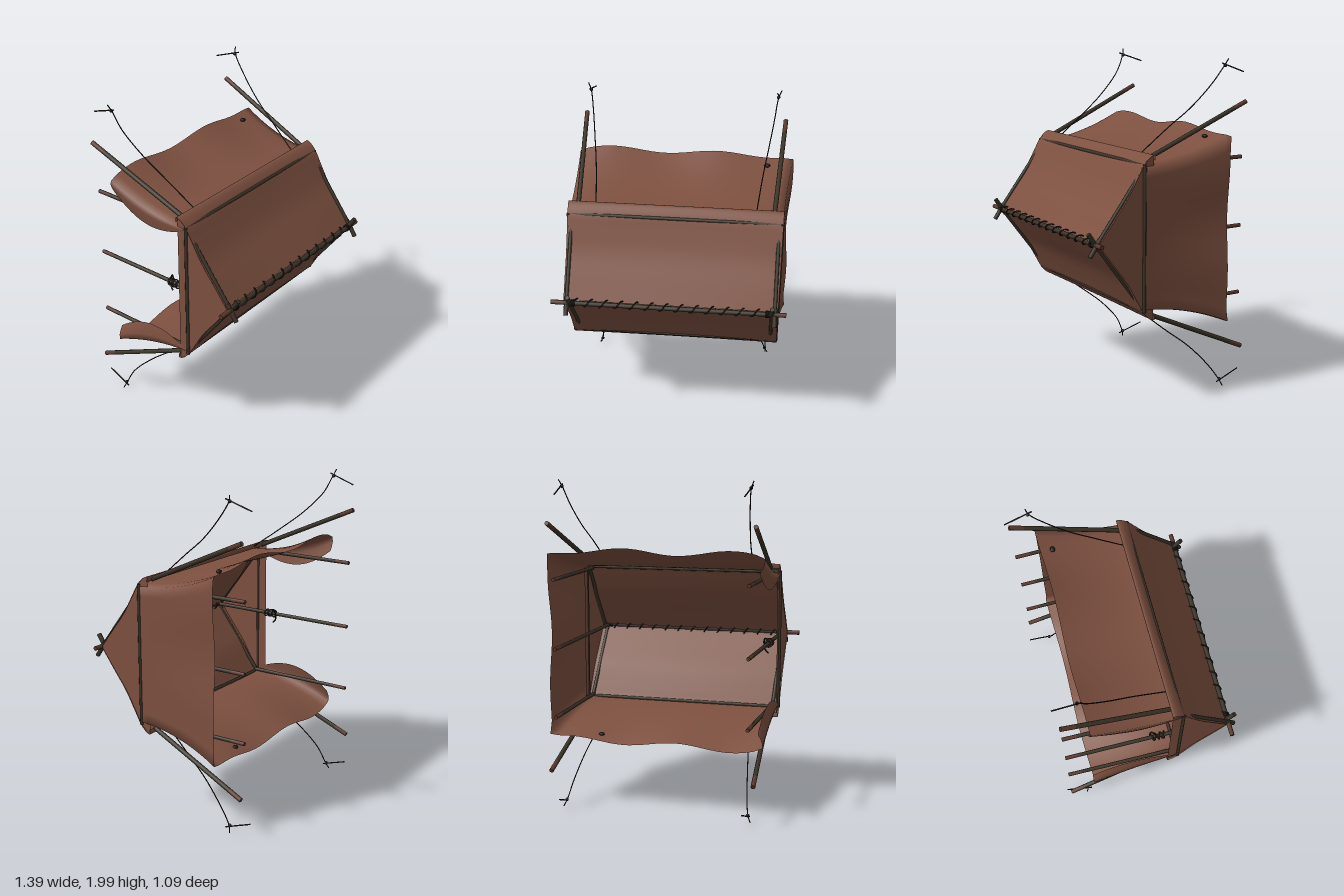
import * as THREE from 'three';

const mat = (name, color, side = THREE.FrontSide) => {
  const m = new THREE.MeshStandardMaterial({ color, side });
  m.name = name;
  return m;
};
const V = (x, y, z) => new THREE.Vector3(x, y, z);

export function createModel() {
  const cloth = mat('brown canvas', 0x7d5040, THREE.DoubleSide);
  const wood = mat('dark wood', 0x3a3227);
  const tip = mat('reddish wood', 0x59382c);
  const rope = mat('dark rope', 0x1f1b18);
  const root = new THREE.Group();
  root.name = 'tent';

  const add = (name, geo, m) => {
    const mesh = new THREE.Mesh(geo, m);
    mesh.name = name;
    root.add(mesh);
    return mesh;
  };
  // Round stick between two points
  const pole = (name, a, b, r, m = wood, sides = 8) => {
    const d = b.clone().sub(a);
    const mesh = add(name, new THREE.CylinderGeometry(r, r, d.length(), sides), m);
    mesh.position.copy(a).add(b).multiplyScalar(0.5);
    mesh.quaternion.setFromUnitVectors(V(0, 1, 0), d.normalize());
    return mesh;
  };
  // Pole with a reddish tip at its far end
  const tippedPole = (name, a, b, r) => {
    const mid = b.clone().lerp(a, 0.09 / a.distanceTo(b));
    pole(name, a, mid, r);
    pole(name + 'Tip', mid, b, r, tip);
  };
  const cord = (name, pts, r, n = 20) =>
    add(name, new THREE.TubeGeometry(new THREE.CatmullRomCurve3(pts), n, r, 5), rope);
  // Smooth sheet through equally long rows of points
  const sheet = (name, rows) => {
    const n = rows[0].length, idx = [];
    for (let i = 0; i < rows.length - 1; i++)
      for (let j = 0; j < n - 1; j++) {
        const a = i * n + j;
        idx.push(a, a + n, a + 1, a + 1, a + n, a + n + 1);
      }
    const g = new THREE.BufferGeometry().setFromPoints(rows.flat());
    g.setIndex(idx);
    g.computeVertexNormals();
    return add(name, g, cloth);
  };

  // Roof slopes: concave profile of height off the ridge and z, with an eave lip
  const profile = new THREE.CatmullRomCurve3([
    V(0, 0.008, 0.485), V(0, 0.115, 0.405), V(0, 0.24, 0.31),
    V(0, 0.36, 0.24), V(0, 0.435, 0.195), V(0, 0.475, 0.15), V(0, 0.478, 0.128), V(0, 0.45, 0.13),
  ]).getPoints(28);
  for (const s of [1, -1]) {
    const rows = [];
    for (let i = 0; i <= 24; i++) {
      const u = i / 12 - 1;
      rows.push(profile.map((p, j) => {
        const sag = 0.012 * Math.sin(Math.PI * Math.min(1, j / 22)) * Math.cos(u * Math.PI / 2);
        return V(u * (0.632 + 0.008 * j / 28), 1 + s * p.y, p.z - sag);
      }));
    }
    sheet('roofSlope', rows);
  }

  // Gable panels that follow the roof profile
  for (const s of [1, -1]) {
    const half = profile.slice(0, 24);
    sheet('gable', half.map(p => [1 + p.y, 1, 1 - p.y].map(y => V(s * 0.628, y, p.z))));
  }

  // Flared walls: two long sides, one closed end, and short flaps beside the open end
  const rows = [];
  for (let i = 0; i <= 16; i++) {
    const t = i / 16, row = [];
    const z = 0.185 - 0.545 * t;
    const xl = -0.632 - 0.012 * t, xr = 0.636 + 0.044 * t * t;
    const flare = 0.432 + 0.03 * t + 0.115 * t * t;
    const wave = x => 0.018 * t * t * Math.cos(9.5 * (x + 0.45));
    const flap = 0.01 + 0.11 * Math.sin(t * 2.4);
    const side = s => {
      const out = [];
      for (let k = 0; k <= 24; k++) {
        const x = xl + (xr - xl) * k / 24;
        // Rounded drop at the corners
        const drop = 0.018 * Math.pow(Math.abs(2 * k / 24 - 1), 16);
        out.push(V(x, 1 + s * (flare + wave(x) - drop), z + 0.006 * t * Math.sin(7 * x)));
      }
      return out;
    };
    const flapRow = (s, corner) => [1, 0.66, 0.33].map(k =>
      V(xl + 0.03 * k * k * t, corner.y - s * flap * k, z));
    const top = side(1), bottom = side(-1);
    row.push(...flapRow(1, top[0]), ...top);
    const yt = top[24].y, yb = bottom[24].y;
    for (let k = 1; k < 14; k++) {
      const v = k / 14;
      row.push(V(xr + 0.008 * t * Math.sin(v * 11) - 0.012 * t * Math.sin(v * Math.PI), yt + (yb - yt) * v, z));
    }
    row.push(...bottom.reverse(), ...flapRow(-1, bottom[24]).reverse());
    rows.push(row);
  }
  sheet('walls', rows);

  // Ridge pole and eave poles
  pole('ridgePole', V(-0.63, 1, 0.5), V(0.63, 1, 0.5), 0.014);
  pole('ridgePoleTip', V(-0.705, 1, 0.5), V(-0.63, 1, 0.5), 0.014, tip);
  pole('ridgePoleTip', V(0.63, 1, 0.5), V(0.68, 1, 0.5), 0.014, tip);
  for (const s of [1, -1])
    pole('eavePole', V(-0.62, 1 + s * 0.425, 0.19), V(0.62, 1 + s * 0.425, 0.19), 0.01);

  for (const e of [1, -1]) {
    // End frame: crossbeam, three posts and the crossed rafters
    pole('crossbeam', V(e * 0.632, 0.57, 0.195), V(e * 0.632, 1.43, 0.195), 0.01);
    for (const [y, z] of [[0.587, 0.19], [1, 0.49], [1.415, 0.19]])
      tippedPole('post', V(e * 0.595, y, z), V(e * 0.585, y, -0.51), 0.012);
    for (const s of [1, -1]) {
      const x = e * (0.605 + s * 0.008);
      pole('rafter', V(x, 1 + s * 0.42, 0.18), V(x, 1 + s * 0.03, 0.475), 0.011);
      pole('rafterEnd', V(x, 1 + s * 0.03, 0.475), V(x, 1 - s * 0.065, 0.54), 0.014);

      // Slanted brace outside the long wall
      tippedPole('brace', V(e * 0.58, 1 + s * 0.455, 0.14), V(e * 0.62, 1 + s * 0.745, -0.51), 0.014);

      // Guy rope with its knot and peg
      const bow = e * 0.012;
      cord('guyRope', [
        V(e * 0.475, 1 + s * 0.465, 0.13), V(e * 0.5, 1 + s * 0.61, -0.06 + bow),
        V(e * 0.525, 1 + s * 0.72, -0.2 + bow), V(e * 0.55, 1 + s * 0.85, -0.325 + bow),
        V(e * 0.567, 1 + s * 0.955, -0.39), V(e * 0.585, 1 + s * 0.995, -0.405),
      ], 0.0035, 24);
      const knot = add('knot', new THREE.SphereGeometry(0.011, 8, 6), rope);
      knot.position.set(e * 0.567, 1 + s * 0.955, -0.395);
      pole('peg', V(e * 0.573, 1 + s * 0.968, -0.37), V(e * 0.56, 1 + s * 0.912, -0.535), 0.004, rope, 6);
    }
  }

  // Lacing between roof edges and ridge pole
  const lace = [];
  for (let i = 0; i <= 13 * 8; i++) {
    const a = i / 8 * Math.PI * 2;
    lace.push(V(-0.58 + 1.16 * i / 104, 1 + 0.022 * Math.sin(a), 0.493 + 0.024 * Math.cos(a)));
  }
  cord('ridgeLacing', lace, 0.004, 260);

  // Lashings where rafters cross the ridge
  for (const e of [1, -1])
    for (let k = 0; k < 3; k++) {
      const ring = add('ridgeLashing', new THREE.TorusGeometry(0.018, 0.004, 5, 12), rope);
      ring.position.set(e * (0.58 - k * 0.008), 1, 0.5);
      ring.rotation.y = Math.PI / 2;
    }

  // Tied rope bundle on the middle post of the open end
  for (let k = 0; k < 6; k++) {
    const ring = add('ropeCoil', new THREE.TorusGeometry(0.018 + 0.004 * (k % 2), 0.005, 5, 12), wood);
    ring.position.set(-0.593, 1, 0.03 + k * 0.014);
    ring.rotation.set(0.25 * Math.sin(k * 2), 0.3 * Math.cos(k * 3), 0);
  }
  cord('ropeTail', [V(-0.593, 1.02, 0.06), V(-0.57, 1.03, 0.03), V(-0.575, 0.97, 0.02), V(-0.59, 0.94, 0.05)], 0.005);

  // Small rope toggles on the long walls
  for (const [x, y, z] of [[0.52, 1.545, -0.29], [0.37, 0.45, -0.3]]) {
    const t = add('toggle', new THREE.SphereGeometry(0.016, 8, 6), rope);
    t.scale.set(1.2, 0.7, 1);
    t.position.set(x, y, z);
  }
  return root;
}
